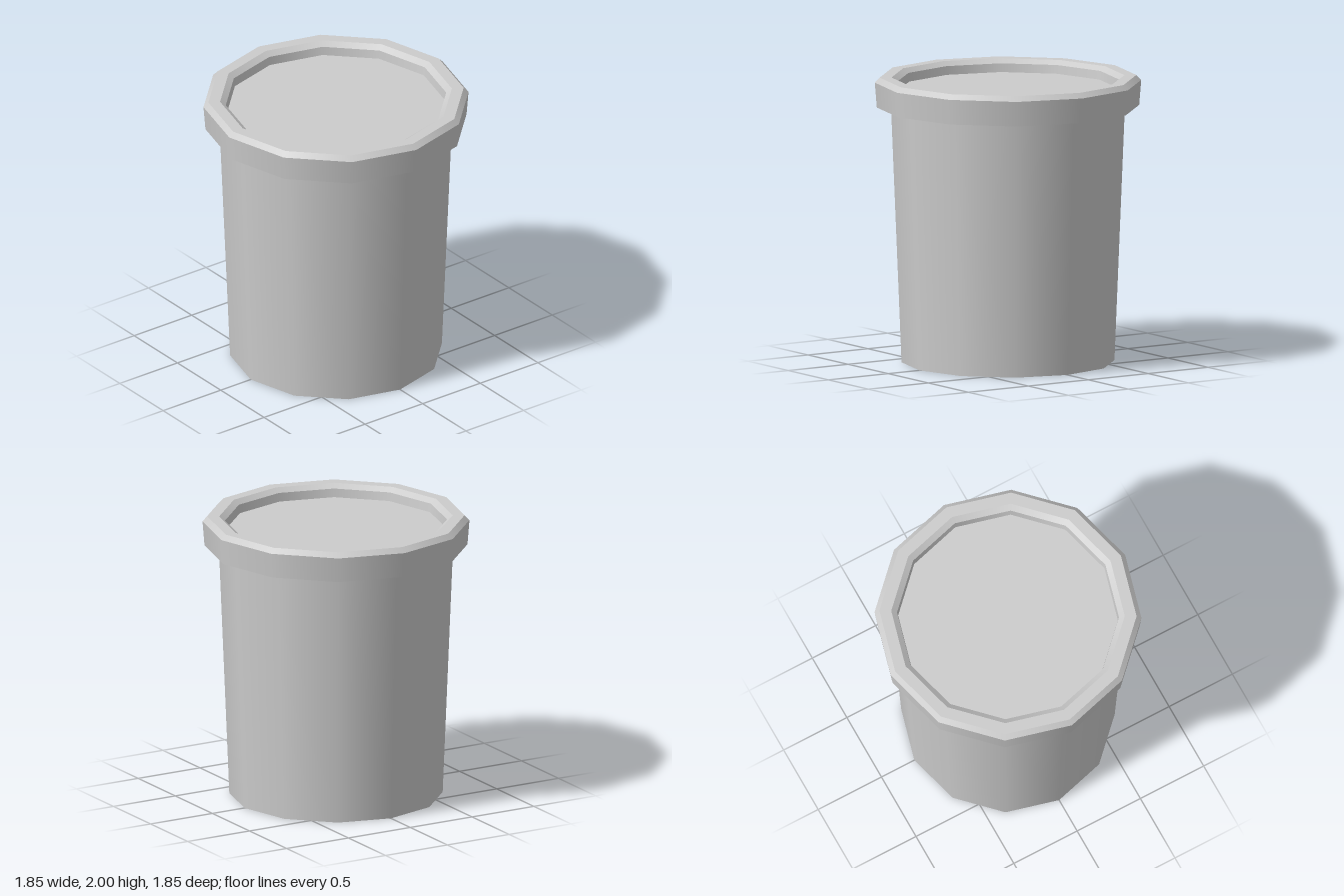
import * as THREE from 'three';
import { mergeGeometries } from 'three/addons/utils/BufferGeometryUtils.js';

const SIDES = 12;
const material = new THREE.MeshStandardMaterial({ color: 0xcccccc });

// Turns a profile of [radius, height] points; smooth around, sharp between bands
function turned(name, profile) {
  const bands = [];
  for (let i = 0; i < profile.length - 1; i++) {
    const pair = [profile[i], profile[i + 1]].map(([r, y]) => new THREE.Vector2(r, y));
    bands.push(new THREE.LatheGeometry(pair, SIDES));
  }
  const mesh = new THREE.Mesh(mergeGeometries(bands), material);
  mesh.name = name;
  return mesh;
}

export function createModel() {
  const group = new THREE.Group();
  group.name = 'flowerPot';

  // Tapered body with closed base
  group.add(turned('body', [[0, 0], [0.74, 0], [0.813, 1.79]]));

  // Overhanging rim: underside, flared band, chamfer, flat lip, inner bevel and wall
  group.add(turned('rim', [
    [0.813, 1.79], [0.912, 1.79], [0.926, 1.965], [0.892, 2],
    [0.81, 2], [0.77, 1.97], [0.762, 1.91],
  ]));

  // Flat fill just below the lip
  group.add(turned('soil', [[0.762, 1.91], [0, 1.91]]));

  return group;
}
